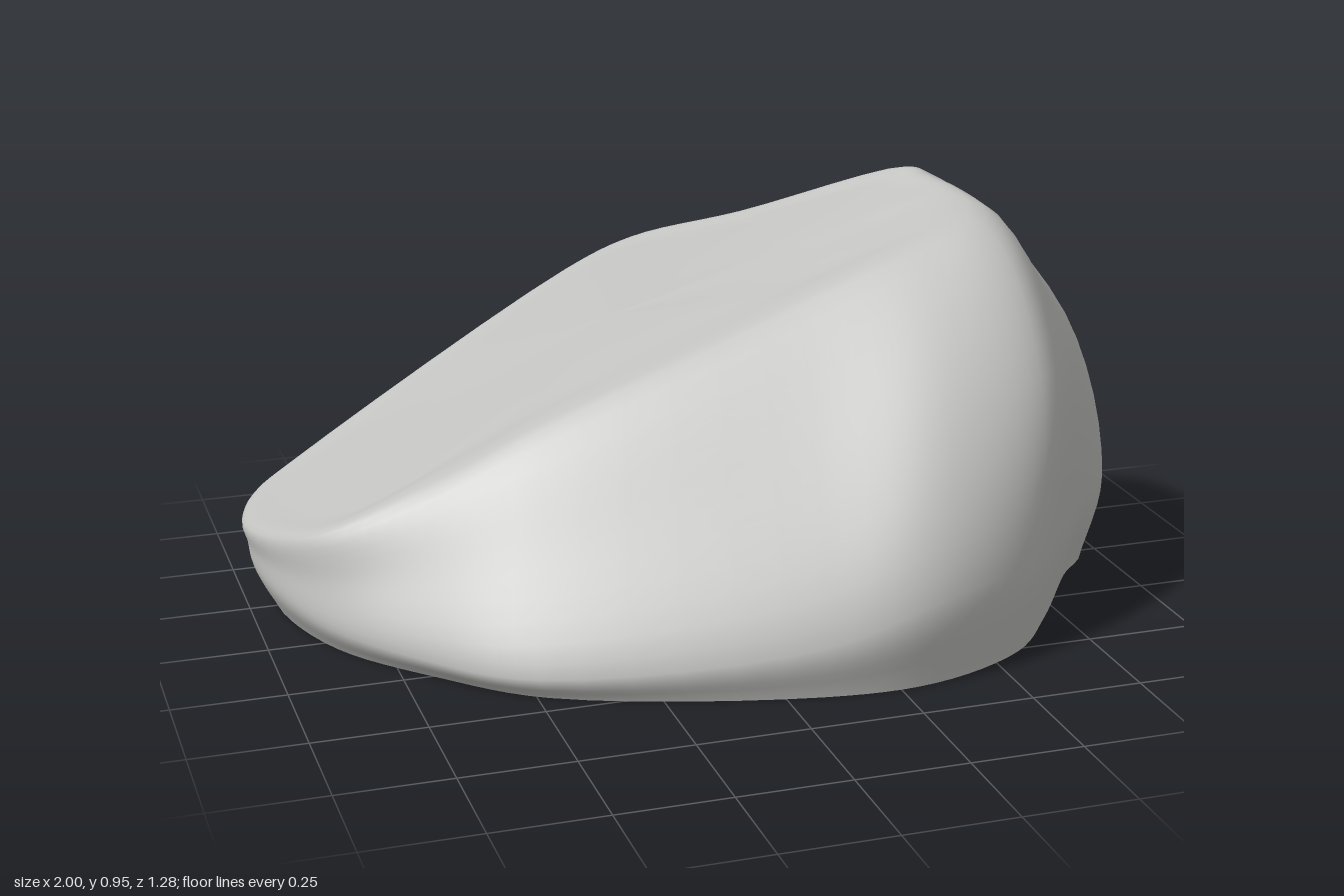
import * as THREE from 'three';

// Stations round the boulder, from the right keel towards the front and on:
// belly x, y, z, then rim x, z. Rim height, foot and swell follow by rule.
const STATIONS = [
  [1, 0.2, 0.01, 0.58, -0.09], [0.9, 0.2, 0.14, 0.62, 0], [0.74, 0.22, 0.37, 0.64, 0.09],
  [0.6, 0.22, 0.53, 0.6, 0.16], [0.35, 0.2, 0.635, 0.42, 0.17], [0.08, 0.12, 0.63, 0.15, 0.16],
  [-0.5, 0.05, 0.45, -0.4, 0.14], [-0.71, 0.05, 0.27, -0.66, 0.1], [-0.9, 0.07, 0.04, -0.89, 0],
  [-0.985, 0.1, -0.25, -1, -0.26], [-0.95, 0.12, -0.4, -0.96, -0.4], [-0.85, 0.14, -0.455, -0.86, -0.455],
  [-0.15, 0.28, -0.575, -0.15, -0.6], [0.12, 0.25, -0.59, 0.02, -0.605], [0.4, 0.28, -0.46, 0.24, -0.42],
  [0.86, 0.22, -0.13, 0.56, -0.14],
];
const COLS = STATIONS.length * 6;
const ROWS = 36;

// The top slopes up to the right, swells in the middle and droops at its front right edge
function topHeight(x, z) {
  const droop = 0.22 * Math.max(0, z + 0.13) * Math.max(0, x + 0.5) + 0.35 * Math.max(0, x - 0.55);
  return 0.68 + 0.48 * x - droop + 0.03 * Math.exp(-(((x + 0.2) / 0.25) ** 2));
}
const onTop = (x, z) => new THREE.Vector3(x, topHeight(x, z), z);
const CROWN = onTop(-0.15, -0.2);

// Upright profile of one station: foot, belly, flank, rim, and two points on the top
function profile([bx, by, bz, rx, rz]) {
  const rim = onTop(rx, rz);
  const belly = new THREE.Vector3(bx, by, bz);
  const foot = new THREE.Vector3(bx * 0.95, 0, bz * (bz < -0.5 ? 1.06 : 0.97));
  const outward = new THREE.Vector3(bx, 0, bz + 0.5 * Math.max(0, bx)).normalize().setY(0.5);
  const swell = 0.1 * Math.max(0, bx) + 0.04 * Math.max(0, bz);
  const flank = belly.clone().lerp(rim, 0.5).addScaledVector(outward, swell);
  // the front edge is softer than the back edge
  const tops = [rz > 0 ? 0.3 : 0.12, 0.6].map((t) => {
    const p = rim.clone().lerp(CROWN, t);
    return onTop(p.x, p.z);
  });
  return [foot, belly, flank, rim, ...tops];
}

function meshFrom(name, positions, index, material) {
  const geometry = new THREE.BufferGeometry();
  geometry.setAttribute('position', new THREE.Float32BufferAttribute(positions, 3));
  geometry.setIndex(index);
  geometry.computeVertexNormals();
  const mesh = new THREE.Mesh(geometry, material);
  mesh.name = name;
  return mesh;
}

export function createModel() {
  const stone = new THREE.MeshStandardMaterial({ color: 0xc0c0be });
  stone.name = 'grey stone';

  // Smooth closed loops through the matching points of all stations
  const profiles = STATIONS.map(profile);
  const rings = profiles[0].map((_, k) => {
    const curve = new THREE.CatmullRomCurve3(profiles.map((p) => p[k]), true);
    return Array.from({ length: COLS }, (_, j) => curve.getPoint(j / COLS));
  });

  // Sides and sloping top: one upright curve per column
  const positions = [];
  const index = [];
  for (let j = 0; j < COLS; j++) {
    const upright = new THREE.CatmullRomCurve3([...rings.map((ring) => ring[j]), CROWN]);
    for (let i = 0; i <= ROWS; i++) {
      positions.push(...upright.getPoint(i / ROWS).toArray());
      if (i === ROWS) continue;
      const a = j * (ROWS + 1) + i;
      const b = ((j + 1) % COLS) * (ROWS + 1) + i;
      index.push(a, a + 1, b);
      if (i < ROWS - 1) index.push(b, a + 1, b + 1);
    }
  }

  // Flat underside
  const under = [0, 0, 0];
  const underIndex = [];
  rings[0].forEach((p, j) => {
    under.push(...p.toArray());
    underIndex.push(0, j + 1, ((j + 1) % COLS) + 1);
  });

  const boulder = new THREE.Group();
  boulder.name = 'boulder';
  boulder.add(meshFrom('boulderBody', positions, index, stone));
  boulder.add(meshFrom('underside', under, underIndex, stone));
  return boulder;
}
